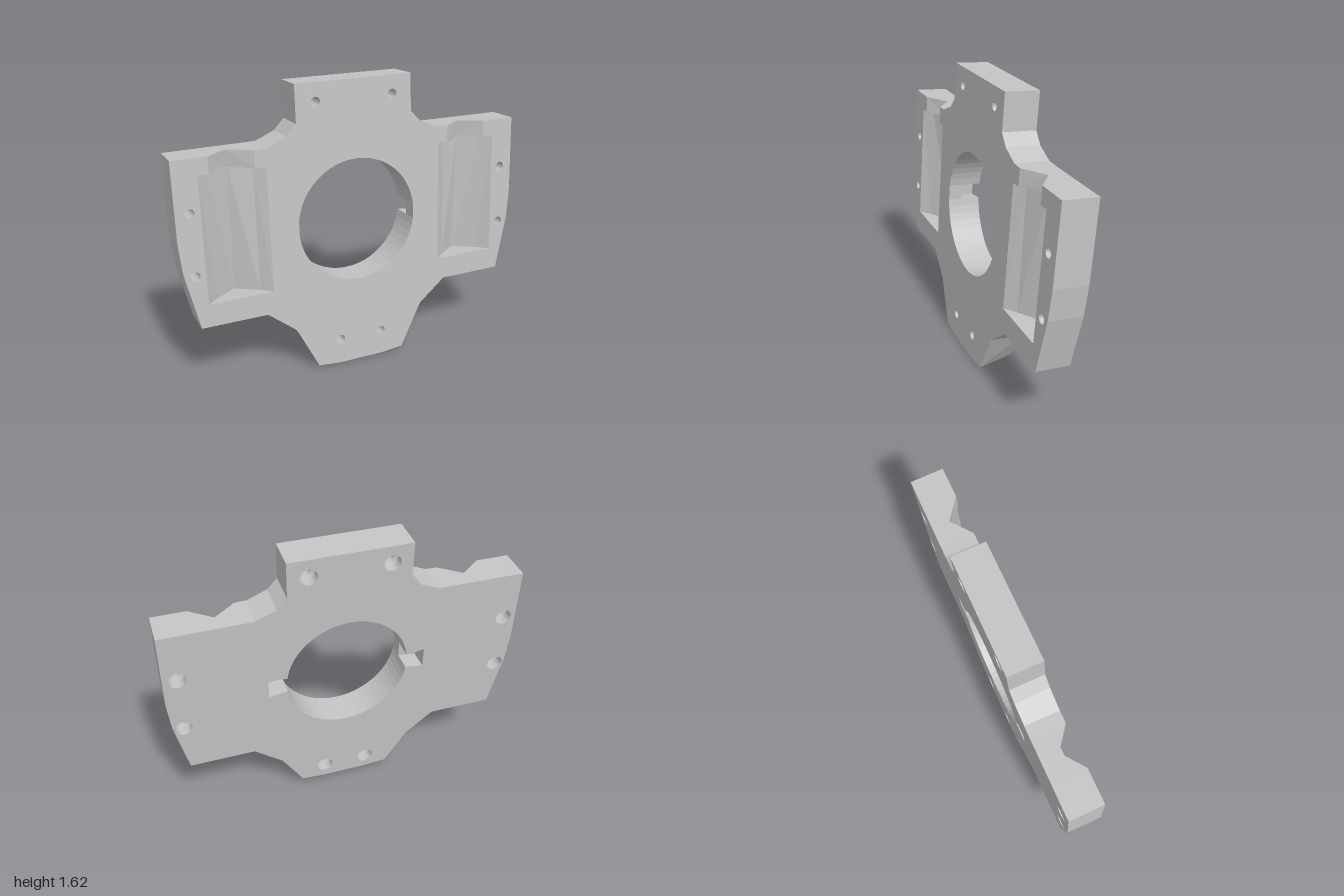
import * as THREE from 'three';

const T = 0.19;              // plate thickness: front face at z = 0, back at z = -T
const TILT = 0.068;          // backward lean

// Ruled surface between two polylines of [x, y, z]
function strip(a, b, closed = false) {
  const pos = [];
  const n = closed ? a.length : a.length - 1;
  for (let i = 0; i < n; i++) {
    const j = (i + 1) % a.length;
    pos.push(...a[i], ...b[i], ...b[j], ...a[i], ...b[j], ...a[j]);
  }
  const g = new THREE.BufferGeometry();
  g.setAttribute('position', new THREE.Float32BufferAttribute(pos, 3));
  g.computeVertexNormals();
  return g;
}

const atZ = (pts, z) => pts.map(p => [p[0], p[1], z]);
const circle = (x, y, r, n = 16) => Array.from({ length: n }, (_, i) => {
  const t = (i / n) * Math.PI * 2;
  return [x + r * Math.cos(t), y + r * Math.sin(t)];
});
const mirrored = half => [...half, ...half.map(([x, ...r]) => [-x, ...r]).reverse()];

// Flat face with holes, optionally facing backward
function face(outline, holes, z, back) {
  const toV = pts => pts.map(p => new THREE.Vector2(p[0], p[1]));
  const shape = new THREE.Shape(toV(outline));
  holes.forEach(h => shape.holes.push(new THREE.Path(toV(h))));
  const g = new THREE.ShapeGeometry(shape);
  if (back) {
    const ix = g.index.array;
    for (let i = 0; i < ix.length; i += 3) [ix[i], ix[i + 1]] = [ix[i + 1], ix[i]];
    g.computeVertexNormals();
  }
  return g.translate(0, 0, z);
}

export function createModel() {
  const grey = new THREE.MeshStandardMaterial({ color: 0xc4c4c4, side: THREE.DoubleSide, flatShading: true });
  grey.name = 'light grey';
  const plate = new THREE.Group();
  plate.name = 'mountingPlate';
  const add = (name, geometry) => {
    const m = new THREE.Mesh(geometry, grey);
    m.name = name;
    plate.add(m);
  };

  // Outline halves, bottom to top
  const TOP = 1.316, STEP = 1.222, LOW = 0.526, C = 0.688, W = 0.18, K = 0.121;
  const lower = [[0.13, 0.002], [0.265, 0.015], [0.39, 0.267], [0.55, 0.397],
    [0.917, 0.397], [0.985, 0.71], [1, 0.88], [1, TOP]];
  const upper = [[0.5, TOP + 0.003], [0.39, 1.365], [0.335, 1.425], [0.335, 1.63]];
  const pocketEdge = [[C + K, TOP], [C + K, STEP], [C + W, STEP], [C + W, LOW],
    [C - W, LOW], [C - W, STEP], [C - K, STEP], [C - K, TOP]];
  const frontOutline = mirrored([...lower, ...pocketEdge, ...upper]);
  const backLower = lower.map((p, i) => (i < 2 ? [p[0], 0.058 + i * 0.01] : p));
  const backOutline = mirrored([...backLower, ...upper]);

  // Screw holes with counterbores at the back
  const screws = mirrored([[0.127, 0.149], [0.925, 0.693], [0.925, 1.033], [0.222, 1.528]]);
  const bores = screws.map(([x, y]) => circle(x, y, 0.026));
  const counterbores = screws.map(([x, y]) => circle(x, y, 0.047));
  bores.forEach((b, i) => {
    add('screwBore', strip(atZ(b, 0), atZ(b, -0.13), true));
    add('screwSeat', strip(atZ(b, -0.13), atZ(counterbores[i], -0.14), true));
    add('screwCounterbore', strip(atZ(counterbores[i], -0.14), atZ(counterbores[i], -T), true));
  });

  // Central hole with a keyway on each side, cut from the back
  const CY = 0.852, R = 0.348, KEY = -0.08, gap = Math.asin(0.045 / R);
  const arc = start => Array.from({ length: 25 }, (_, i) => {
    const t = start + gap + (i / 24) * (Math.PI - 2 * gap);
    return [R * Math.cos(t), CY + R * Math.sin(t)];
  });
  const upperArc = arc(0), lowerArc = arc(Math.PI);
  const keyEnd = s => [[s * 0.45, CY - s * 0.06], [s * 0.45, CY + s * 0.06]];
  const roundHole = [...upperArc, ...lowerArc];
  const keyedHole = [...upperArc, ...keyEnd(-1), ...lowerArc, ...keyEnd(1)];
  add('holeFrontWall', strip(atZ(roundHole, 0), atZ(roundHole, KEY), true));
  add('holeKeyedWall', strip(atZ(keyedHole, KEY), atZ(keyedHole, -T), true));
  for (const s of [-1, 1]) {
    const inner = [[s * R * Math.cos(gap), CY - 0.045], [s * R * Math.cos(gap), CY + 0.045]];
    const outer = [[s * 0.45, CY - 0.06], [s * 0.45, CY + 0.06]];
    add('keywayFloor', strip(atZ(inner, KEY), atZ(outer, KEY)));
  }

  // Faces and rim; the rim dips where the grooves run out at the top
  add('frontFace', face(frontOutline, [roundHole, ...bores], 0, false));
  add('backFace', face(backOutline, [keyedHole, ...counterbores], -T, true));
  const runOut = [[C + K, TOP, 0], [C, TOP, -0.092], [C - K, TOP, 0]];
  const rimFront = mirrored([...atZ(lower, 0), ...runOut, ...atZ(upper, 0)]);
  const rimBack = mirrored([...atZ(backLower, -T), ...atZ(runOut, -T), ...atZ(upper, -T)]);
  add('rim', strip(rimFront, rimBack, true));

  // Angled pockets on the front, each with a shallow groove to the top edge
  for (const s of [-1, 1]) {
    const section = (y, w, kink, depth) =>
      [[-w, 0], [-K, kink], [0, depth], [K, kink], [w, 0]].map(([x, z]) => [s * (C + x), y, z]);
    const bottom = section(LOW, W, -0.055, -0.145);
    const top = section(STEP, W, -0.045, -0.1);
    const grooveStart = section(STEP, K, 0, -0.1);
    const grooveEnd = section(TOP, K, 0, -0.092);
    add('pocketWalls', strip(bottom, top));
    add('pocketBottom', strip(bottom, atZ(bottom, 0)));
    add('pocketStep', strip(top, grooveStart));
    add('pocketGroove', strip(grooveStart, grooveEnd));
  }

  plate.rotation.x = -TILT;
  plate.position.z = 0.148;
  const model = new THREE.Group();
  model.name = 'tiltedBracket';
  model.add(plate);
  return model;
}
